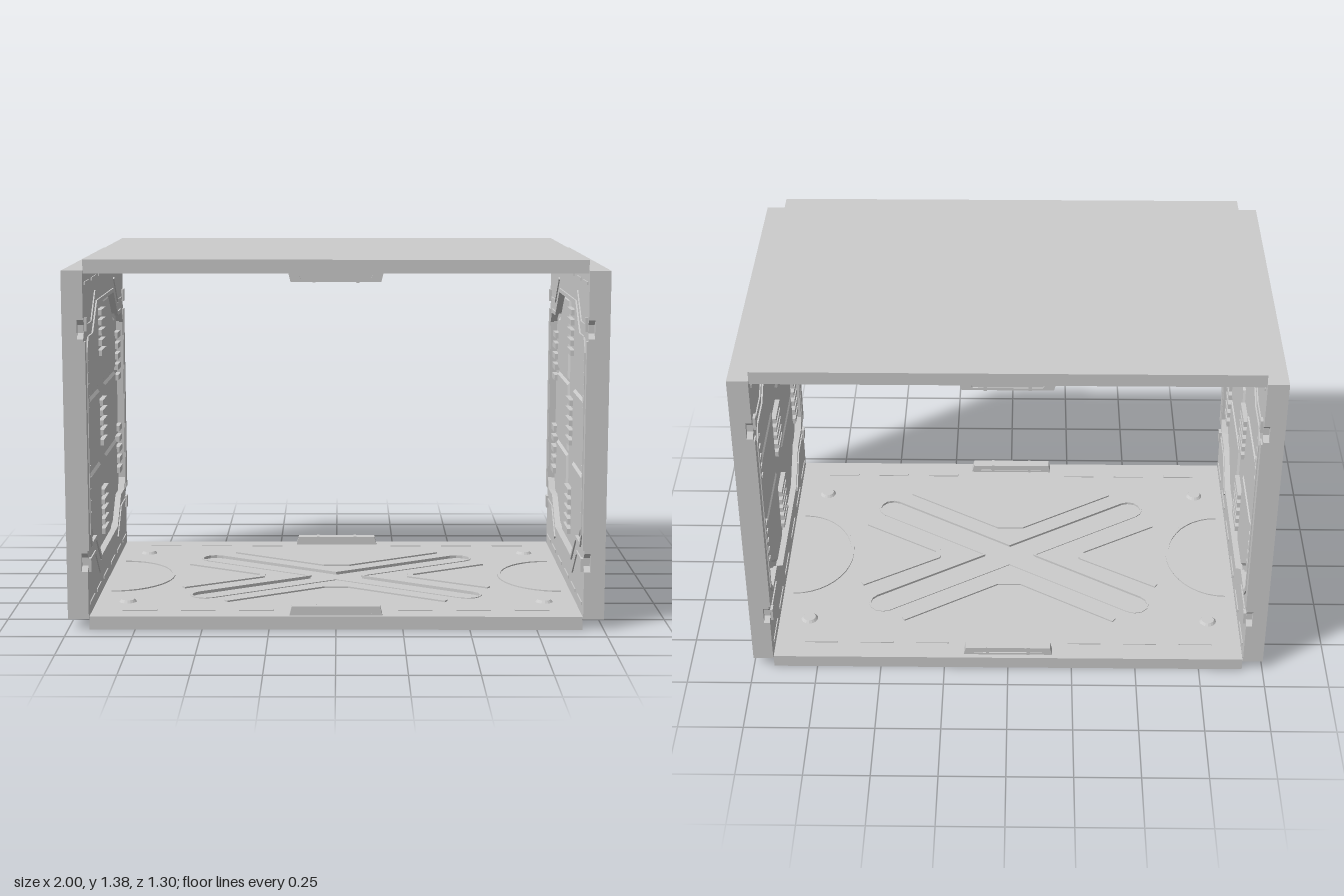
import * as THREE from 'three';

const mat = new THREE.MeshStandardMaterial({ color: 0xcccccc, flatShading: true });
const toShape = pts => new THREE.Shape(pts.map(p => new THREE.Vector2(p[0], p[1])));

function add(parent, geo, name) {
  const m = new THREE.Mesh(geo, mat);
  m.name = name;
  parent.add(m);
  return m;
}

// Flat plate between heights h0 and h1, with optional hole
function plate(parent, name, pts, h0, h1, hole) {
  const s = toShape(pts);
  if (hole) s.holes.push(toShape(hole));
  const geo = new THREE.ExtrudeGeometry(s, { depth: h1 - h0, bevelEnabled: false });
  return add(parent, geo.translate(0, 0, h0), name);
}

// Raised pad with sloping sides
function pad(parent, name, pts, h0, h1, b = 0.01) {
  const t = h1 - h0;
  const geo = new THREE.ExtrudeGeometry(toShape(pts), {
    depth: 0.002, bevelThickness: t, bevelSize: b, bevelOffset: -b, bevelSegments: 1 });
  return add(parent, geo.translate(0, 0, h0 - 0.002), name);
}

function block(parent, name, x, y, w, h, z0, z1) {
  return add(parent, new THREE.BoxGeometry(w, h, z1 - z0).translate(x, y, (z0 + z1) / 2), name);
}

// Narrow ridge following a path of points
function ridge(parent, name, pts, w, h0, h1) {
  const g = new THREE.Group();
  g.name = name;
  for (let i = 1; i < pts.length; i++) {
    const [ax, ay] = pts[i - 1], [bx, by] = pts[i];
    const m = block(g, name + 'Segment', 0, 0, Math.hypot(bx - ax, by - ay) + w * 0.4, w, h0, h1);
    m.position.set((ax + bx) / 2, (ay + by) / 2, 0);
    m.rotation.z = Math.atan2(by - ay, bx - ax);
  }
  parent.add(g);
}

const rect = (w, h) => [[w, h], [-w, h], [-w, -h], [w, -h]];
// Mirror one quadrant of points (running from +x side to +y side) into a closed outline
function fourWay(q) {
  const r = [...q].reverse();
  return [...q, ...r.map(([x, y]) => [-x, y]), ...q.map(([x, y]) => [-x, -y]), ...r.map(([x, y]) => [x, -y])];
}

// Cross outline with four rounded arms
function crossOutline(len, w) {
  const a = Math.atan2(0.36, 0.58), c = Math.cos(a), s = Math.sin(a);
  const q = [];
  for (let i = 0; i <= 6; i++) {
    const t = a - Math.PI / 2 + i * Math.PI / 6;
    q.push([len * c + w * Math.cos(t), len * s + w * Math.sin(t)]);
  }
  const pts = [];
  const full = fourWay(q);
  const inner = [[0, w / c], [-w / s, 0], [0, -w / c], [w / s, 0]];
  for (let k = 0; k < 4; k++) pts.push(...full.slice(k * 7, k * 7 + 7), inner[k]);
  return pts;
}

// Floor panel: local z points into the room
function deck(name) {
  const g = new THREE.Group();
  g.name = name;
  block(g, name + 'Slab', 0, 0, 1.84, 1.3, 0, 0.04);
  const cross = crossOutline(0.6, 0.055);
  plate(g, name + 'Surface', rect(0.92, 0.65), 0.04, 0.05, cross);
  ridge(g, 'crossRim', [...cross, cross[0]], 0.008, 0.046, 0.053);
  for (const s of [1, -1]) {
    // V ridges between the arms of the cross
    ridge(g, 'sideRidge', [[s * 0.6, 0.2], [s * 0.3, 0.02], [s * 0.3, -0.02], [s * 0.6, -0.2]], 0.022, 0.045, 0.056);
    ridge(g, 'edgeRidge', [[-0.42, s * 0.42], [-0.05, s * 0.19], [0.05, s * 0.19], [0.42, s * 0.42]], 0.022, 0.045, 0.056);
    // Arc of short studs at each end
    const arc = [];
    for (let i = 0; i <= 20; i++) {
      const t = -Math.PI / 2 + i * Math.PI / 20;
      arc.push([s * (0.88 - 0.22 * Math.cos(t)), 0.26 * Math.sin(t)]);
    }
    ridge(g, 'endArc', arc, 0.012, 0.045, 0.055);
    for (const v of [1, -1]) {
      const boss = new THREE.CylinderGeometry(0.025, 0.035, 0.012, 16).rotateX(Math.PI / 2);
      add(g, boss.translate(s * 0.8, v * 0.42, 0.054), 'cornerBoss');
      for (const x of [0.3, 0.52, 0.74]) block(g, 'edgeDash', s * x, v * 0.56, 0.13, 0.012, 0.045, 0.054);
    }
    // Latch housing in the middle of the long edge
    const lip = new THREE.Shape([[-0.175, 0.045], [0.175, 0.045], [0.165, 0.083], [-0.165, 0.083]].map(p => new THREE.Vector2(...p)));
    lip.holes.push(toShape([[-0.135, 0.058], [0.135, 0.058], [0.125, 0.074], [-0.125, 0.074]]));
    const rim = new THREE.ExtrudeGeometry(lip, { depth: 0.04, bevelEnabled: false });
    add(g, rim.translate(0, 0, -0.02).rotateX(Math.PI / 2).translate(0, s * 0.61, 0), 'latchHousing');
    block(g, 'latchCore', 0, s * 0.61, 0.29, 0.03, 0.045, 0.078);
    for (const x of [-0.08, 0.08]) block(g, 'latchTab', x, s * 0.61, 0.012, 0.042, 0.045, 0.085);
  }
  return g;
}

// Side wall: local x runs along depth, y up, z into the room
function wall(name) {
  const g = new THREE.Group();
  g.name = name;
  block(g, name + 'Slab', 0, 0, 1.3, 1.3, 0, 0.055);
  const opening = fourWay([[0.58, 0.34], [0.54, 0.39], [0.41, 0.39], [0.27, 0.5]]);
  const outline = fourWay([[0.65, 0.40], [0.63, 0.42], [0.63, 0.45], [0.65, 0.47], [0.65, 0.65]]);
  plate(g, name + 'Frame', outline, 0.055, 0.078, opening);
  ridge(g, 'frameRim', [...opening, opening[0]], 0.016, 0.07, 0.084);

  for (const s of [1, -1]) {
    // Panels in three rows either side of the middle strip
    const flip = p => p.map(([x, y]) => [s * x, y]);
    const ccw = p => (s > 0 ? flip(p) : flip(p).reverse());
    pad(g, 'middlePanel', ccw([[0.085, -0.14], [0.46, -0.14], [0.46, 0.14], [0.085, 0.14]]), 0.055, 0.064);
    const top = [[0.085, 0.152], [0.46, 0.152], [0.46, 0.37], [0.4, 0.37], [0.26, 0.48], [0.085, 0.48]];
    pad(g, 'upperPanel', ccw(top), 0.055, 0.064);
    pad(g, 'lowerPanel', ccw(top.map(([x, y]) => [x, -y])).reverse(), 0.055, 0.064);
    // Ribbed strips at the edges
    for (const c of [-0.2, 0.2]) {
      for (let i = -2; i <= 2; i++) block(g, 'sideRib', s * 0.52, c + i * 0.045, 0.1, 0.024, 0.055, 0.074);
    }
    // Raised rail along the open edge, with end stops and edge dashes
    block(g, 'edgeRail', s * 0.63, 0, 0.04, 0.78, 0.07, 0.084);
    for (const v of [1, -1]) {
      block(g, 'railStop', s * 0.61, v * 0.45, 0.03, 0.05, 0.07, 0.088);
      ridge(g, 'cornerRidge', [[s * 0.58, v * 0.44], [s * 0.44, v * 0.44], [s * 0.31, v * 0.545]], 0.012, 0.07, 0.083);
      for (const u of [0.12, 0.34, 0.54]) block(g, 'edgeDash', s * u, v * 0.6, 0.13, 0.012, 0.07, 0.082);
    }
  }
  // Ribs of the middle strip
  for (const c of [-0.36, 0, 0.36]) {
    for (let i = -2; i <= 2; i++) block(g, 'middleRib', 0, c + i * 0.04, 0.14, 0.022, 0.055, 0.074);
  }
  return g;
}

export function createModel() {
  const model = new THREE.Group();
  model.name = 'openFrameBox';

  const floor = deck('floor');
  floor.rotation.x = -Math.PI / 2;
  const roof = deck('roof');
  roof.rotation.x = Math.PI / 2;
  roof.position.y = 1.38;

  const left = wall('leftWall');
  left.rotation.y = -Math.PI / 2;
  left.position.set(1, 0.69, 0);
  const right = wall('rightWall');
  right.rotation.y = Math.PI / 2;
  right.position.set(-1, 0.69, 0);

  model.add(floor, roof, left, right);
  return model;
}
